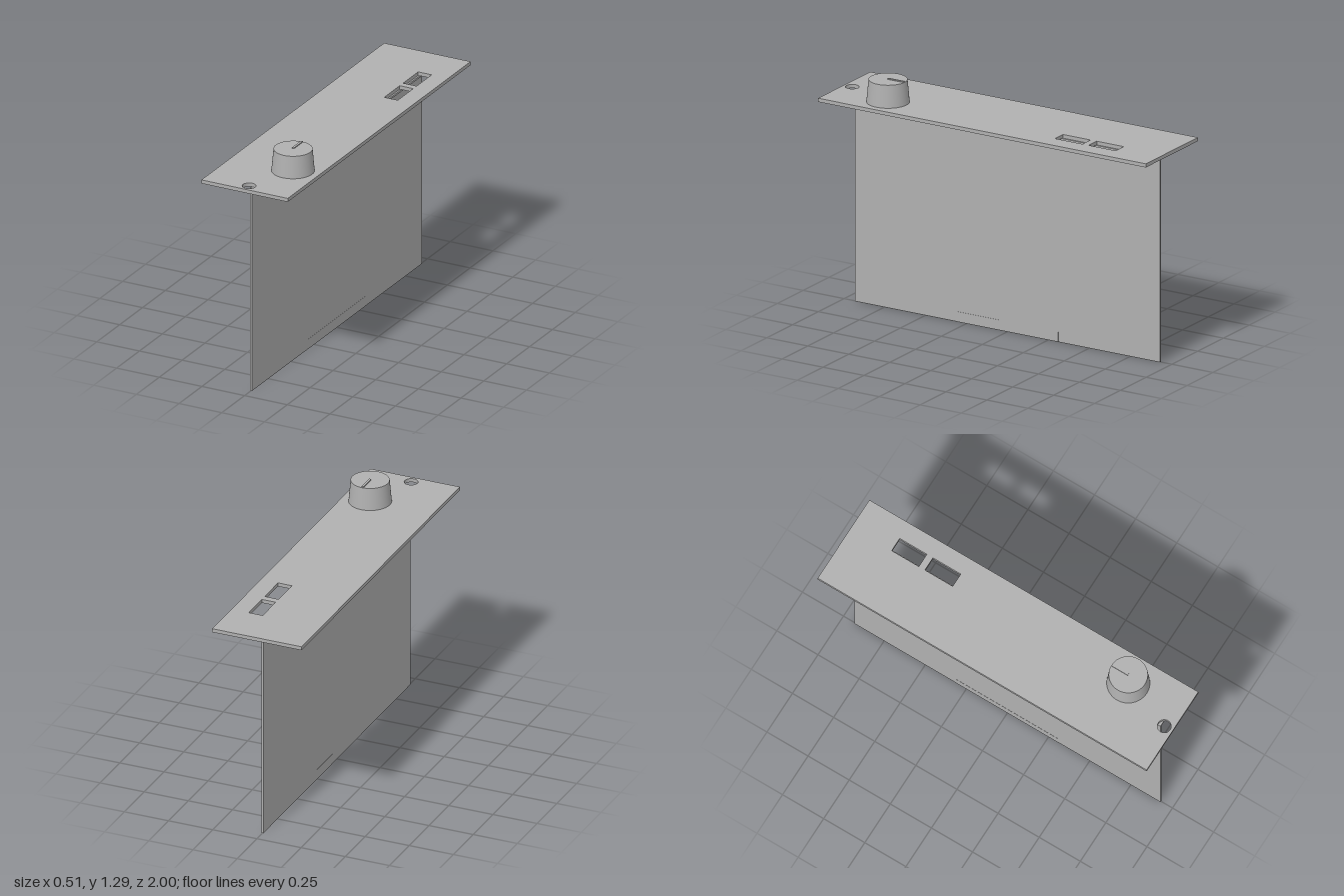
import * as THREE from 'three';

export function createModel() {
  const model = new THREE.Group();
  model.name = 'frontPanelModule';
  const grey = new THREE.MeshStandardMaterial({ color: 0xb0b0b0 });
  grey.name = 'plain grey';

  const add = (name, geometry, x = 0, y = 0, z = 0) => {
    const mesh = new THREE.Mesh(geometry, grey);
    mesh.name = name;
    mesh.position.set(x, y, z);
    model.add(mesh);
    return mesh;
  };
  // Box given by its minimum and maximum on each axis
  const addBox = (name, [x0, x1], [y0, y1], [z0, z1]) =>
    add(name, new THREE.BoxGeometry(x1 - x0, y1 - y0, z1 - z0),
      (x0 + x1) / 2, (y0 + y1) / 2, (z0 + z1) / 2);

  // Outlines are drawn in x and -z, then laid flat
  const rectangle = (path, x0, x1, z0, z1) => {
    path.moveTo(x0, -z1);
    path.lineTo(x1, -z1);
    path.lineTo(x1, -z0);
    path.lineTo(x0, -z0);
    path.closePath();
    return path;
  };
  const roundHole = (x, z, r) => new THREE.Path().absarc(x, -z, r, 0, Math.PI * 2, true);

  const knobX = 0.105, knobZ = 0.666;
  const panelBottom = 1.144, panelTop = 1.164;

  // Face panel with two ports, a screw hole and a shaft hole under the knob
  const outline = rectangle(new THREE.Shape(), -0.253, 0.253, -1, 1);
  outline.holes.push(
    rectangle(new THREE.Path(), 0.077, 0.156, -0.755, -0.59),
    rectangle(new THREE.Path(), 0.077, 0.156, -0.553, -0.384),
    roundHole(0, 0.95, 0.036),
    roundHole(knobX, knobZ, 0.038),
  );
  const panel = new THREE.ExtrudeGeometry(outline, {
    depth: panelTop - panelBottom, bevelEnabled: false, curveSegments: 32,
  });
  panel.rotateX(-Math.PI / 2);
  add('facePanel', panel, 0, panelBottom, 0);

  // Upright board, its folded top flange and the edge contact strip
  addBox('board', [-0.005, 0.005], [0, panelBottom], [-0.93, 0.93]);
  addBox('mountingFlange', [0.005, 0.086], [1.133, panelBottom], [-0.93, 0.93]);
  addBox('edgeContact', [-0.0058, 0.0058], [0, 0.055], [-0.31, 0.31]);

  // Tapered knob with a raised pointer line
  const knobTop = 1.286;
  add('knob', new THREE.CylinderGeometry(0.101, 0.112, knobTop - panelTop, 64),
    knobX, (knobTop + panelTop) / 2, knobZ);
  addBox('knobPointer', [knobX - 0.006, knobX + 0.006], [knobTop - 0.002, 1.291],
    [knobZ - 0.097, knobZ]);

  return model;
}
